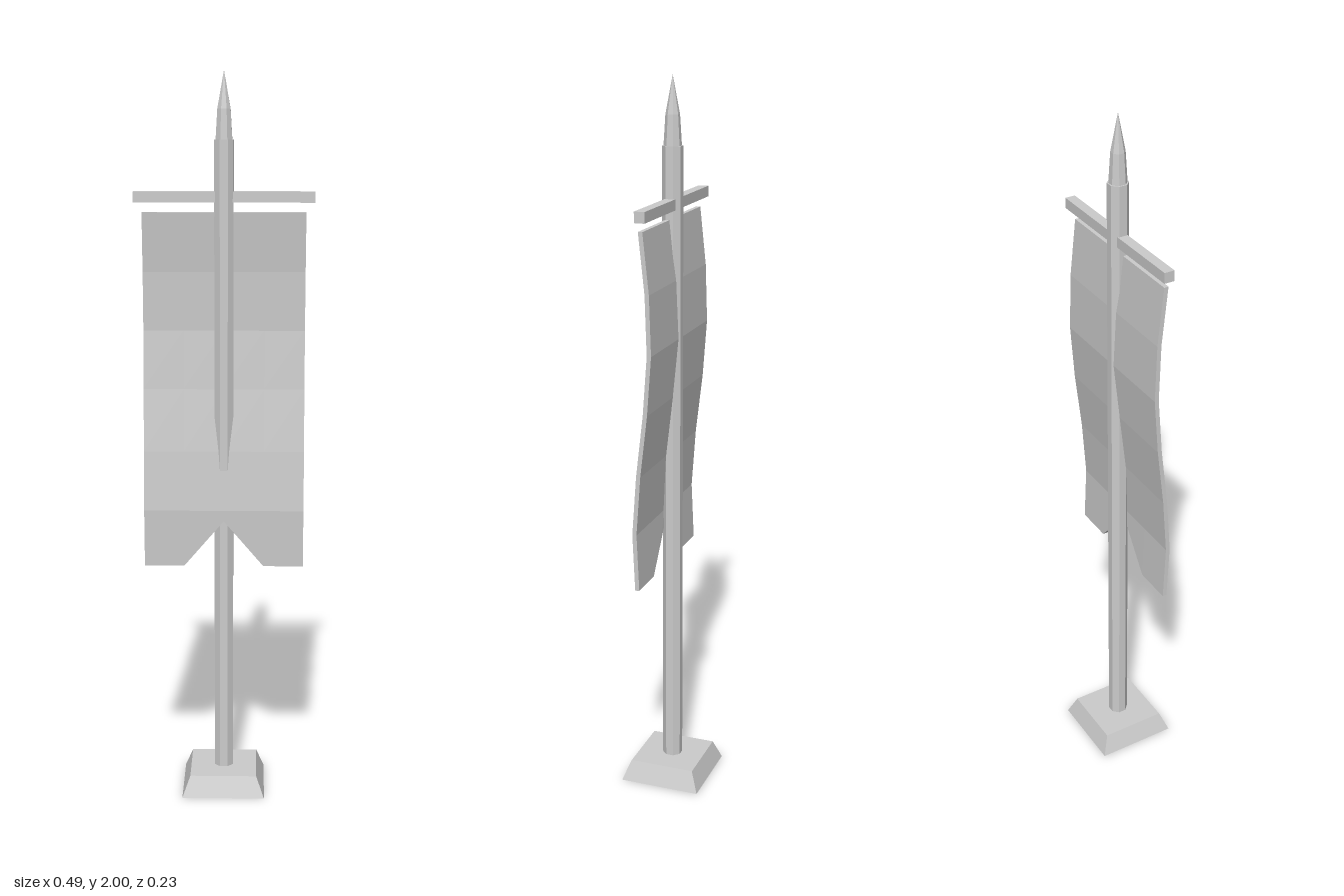
import * as THREE from 'three';

export function createModel() {
  const group = new THREE.Group();
  const material = new THREE.MeshStandardMaterial({ color: 0xcccccc, flatShading: true, side: THREE.DoubleSide });

  const add = (name, geometry) => {
    const mesh = new THREE.Mesh(geometry, material);
    mesh.name = name;
    group.add(mesh);
    return mesh;
  };
  // Faceted turned part with its flat sides facing the axes
  const turned = (name, sides, profile) => add(name, new THREE.LatheGeometry(
    profile.map(([r, y]) => new THREE.Vector2(r, y)), sides, Math.PI / sides));

  // Square foot, hollow underneath
  turned('base', 4, [[0.115 * Math.SQRT2, 0], [0.093 * Math.SQRT2, 0.057], [0, 0.057]]);

  // Octagonal pole and pointed tip
  turned('pole', 8, [[0, 0.005], [0.028, 0.005], [0.028, 1.82], [0, 1.82]]);
  turned('spearTip', 8, [[0.024, 1.82], [0.019, 1.9], [0, 2]]);

  // Bar above the cloth
  add('crossbar', new THREE.BoxGeometry(0.487, 0.029, 0.028)).position.set(0, 1.67, -0.001);

  // Waving cloth: rows of [height, depth of the middle], top to bottom
  const rows = [[1.63, 0.006], [1.47, -0.011], [1.31, -0.016], [1.15, -0.004],
    [0.98, 0.016], [0.815, 0.028], [0.655, 0.021]];
  const last = rows.length - 1;
  const cloth = new THREE.BoxGeometry(0.44, 1, 0.012, 4, last, 1);
  const p = cloth.attributes.position;
  for (let i = 0; i < p.count; i++) {
    const row = Math.round((0.5 - p.getY(i)) * last);
    const notch = row === last && Math.abs(p.getX(i)) < 0.01; // swallowtail cut
    const [y, z] = notch ? [0.785, 0.027] : rows[row];
    p.setY(i, y);
    p.setZ(i, p.getZ(i) + z);
  }
  cloth.computeVertexNormals();
  add('bannerCloth', cloth);

  return group;
}
